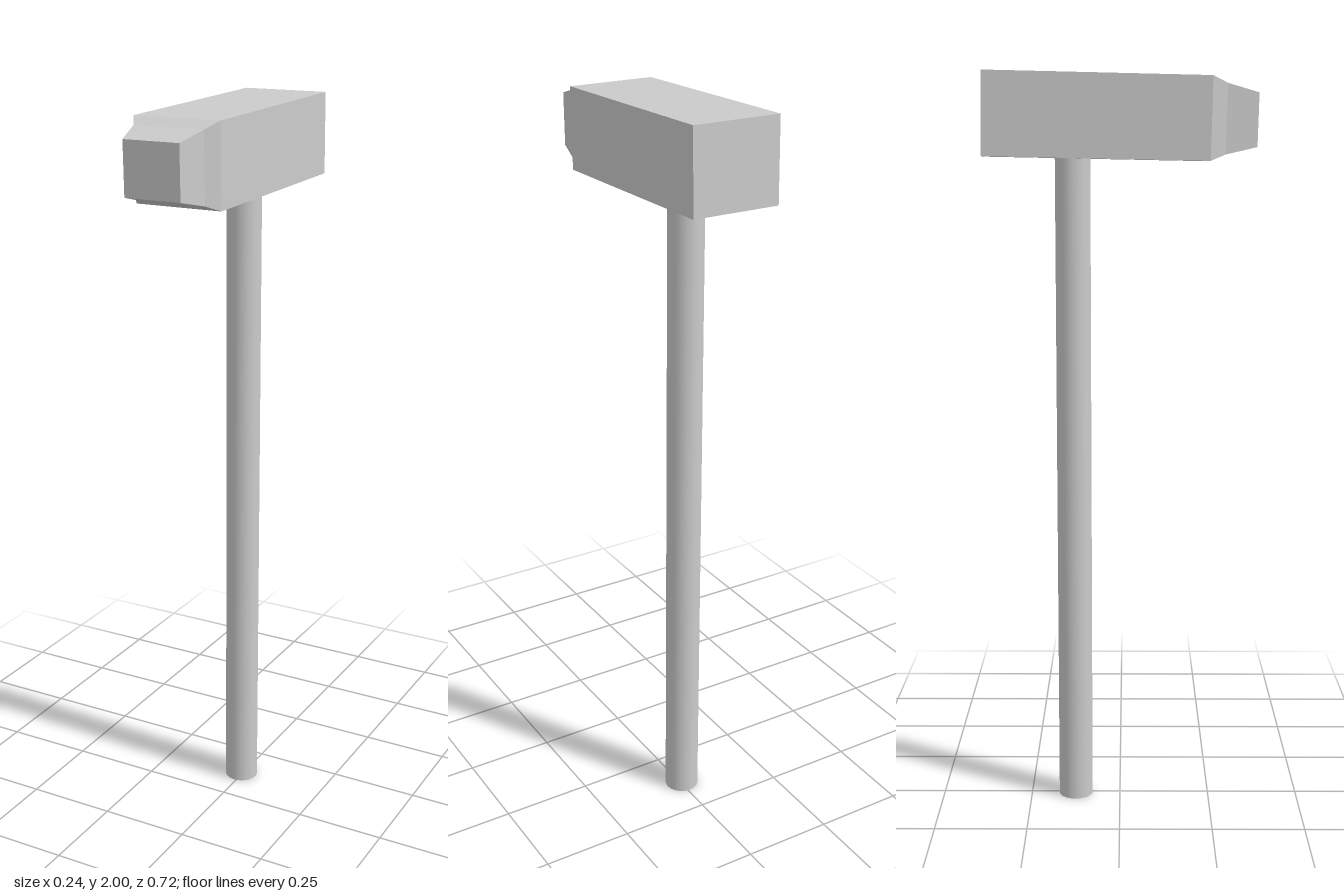
import * as THREE from 'three';

// Head cross-sections from poll to nose: [z, half width, half height]
const SECTIONS = [
  [-0.355, 0.119, 0.108],
  [0.236, 0.119, 0.107],
  [0.275, 0.096, 0.09],
  [0.358, 0.077, 0.069],
];

export function createModel() {
  const model = new THREE.Group();
  model.name = 'hammer';

  // Head: a box whose four rings of vertices follow the cross-sections
  const headGeometry = new THREE.BoxGeometry(2, 2, 3, 1, 1, 3);
  const pos = headGeometry.attributes.position;
  for (let i = 0; i < pos.count; i++) {
    const [z, w, h] = SECTIONS[Math.round(pos.getZ(i) + 1.5)];
    pos.setXYZ(i, pos.getX(i) * w, pos.getY(i) * h, z);
  }
  headGeometry.computeVertexNormals();
  const head = new THREE.Mesh(
    headGeometry,
    new THREE.MeshStandardMaterial({ color: 0xcccccc, flatShading: true })
  );
  head.name = 'head';
  head.position.y = 1.884;
  head.rotation.x = 0.022; // nose dips slightly
  model.add(head);

  // Handle: straight round shaft running up into the head
  const handle = new THREE.Mesh(
    new THREE.CylinderGeometry(0.047, 0.047, 1.85, 32),
    new THREE.MeshStandardMaterial({ color: 0xcccccc })
  );
  handle.name = 'handle';
  handle.position.set(-0.006, 0.925, -0.125);
  model.add(handle);

  return model;
}
